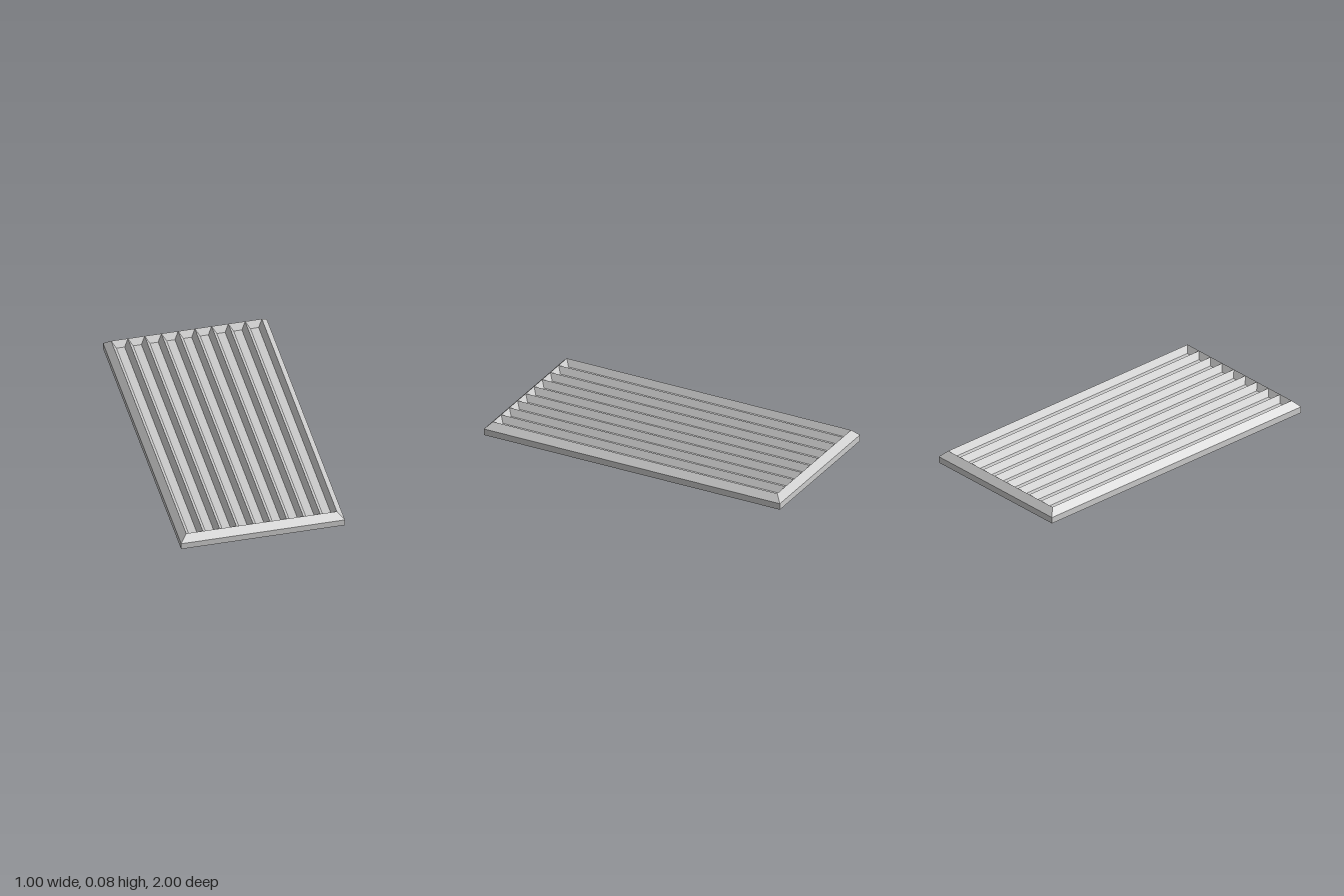
import * as THREE from 'three';

// Corners of a level rectangle, counter-clockwise seen from above
const corners = ({ x = 0, y, hx, hz }) =>
  [[-1, 1], [1, 1], [1, -1], [-1, -1]].map(([sx, sz]) => [x + sx * hx, y, sz * hz]);

// Joins successive rectangles with flat walls, closing the first or last one
function loft(levels, { capFirst = false, capLast = false }) {
  const rings = levels.map(corners);
  const pos = [];
  const quad = (a, b, c, d) => pos.push(...a, ...b, ...c, ...a, ...c, ...d);
  for (let k = 0; k + 1 < rings.length; k++) {
    for (let i = 0; i < 4; i++) {
      const j = (i + 1) % 4;
      quad(rings[k][i], rings[k][j], rings[k + 1][j], rings[k + 1][i]);
    }
  }
  if (capFirst) quad(...[...rings[0]].reverse());
  if (capLast) quad(...rings[rings.length - 1]);
  const geometry = new THREE.BufferGeometry();
  geometry.setAttribute('position', new THREE.Float32BufferAttribute(pos, 3));
  geometry.computeVertexNormals();
  return geometry;
}

export function createModel() {
  const group = new THREE.Group();
  group.name = 'groovedPanel';
  const material = new THREE.MeshStandardMaterial({ color: 0xcccccc, flatShading: true });
  const add = (name, geometry) => {
    const mesh = new THREE.Mesh(geometry, material);
    mesh.name = name;
    group.add(mesh);
  };

  // Slab with a bevelled rim, open at the top where the grooves sit
  const rimX = 0.46, rimZ = 0.96, topY = 0.08, floorY = 0.04;
  add('bevelledSlab', loft([
    { y: 0, hx: 0.5, hz: 1 },
    { y: 0.04, hx: 0.5, hz: 1 },
    { y: topY, hx: rimX, hz: rimZ },
  ], { capFirst: true }));

  // Side-by-side troughs with sloping walls, meeting in sharp ridges
  const count = 9, pitch = 2 * rimX / count, slope = 0.026;
  for (let i = 0; i < count; i++) {
    const x = -rimX + (i + 0.5) * pitch;
    add(`groove${i + 1}`, loft([
      { x, y: topY, hx: pitch / 2, hz: rimZ },
      { x, y: floorY, hx: pitch / 2 - slope, hz: rimZ - slope },
    ], { capLast: true }));
  }
  return group;
}
